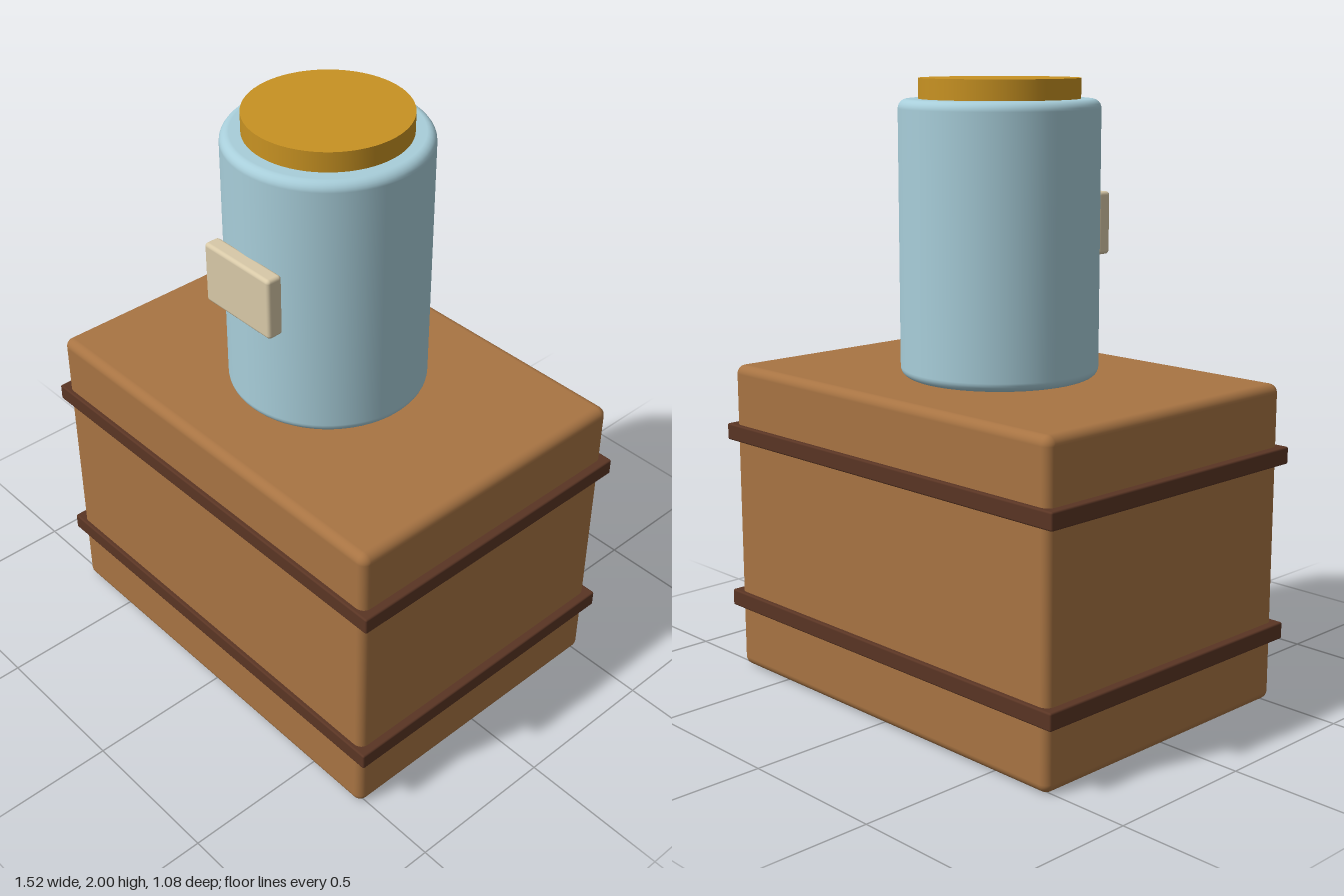
import * as THREE from 'three';
import { RoundedBoxGeometry } from 'three/addons/geometries/RoundedBoxGeometry.js';

function material(name, color) {
  const m = new THREE.MeshStandardMaterial({ color });
  m.name = name;
  return m;
}

export function createModel() {
  const model = new THREE.Group();
  model.name = 'jarOnCrate';
  const wood = material('crate brown', 0xa87443);
  const dark = material('band dark brown', 0x5a3524);
  const blue = material('jar pale blue', 0xa8ceda);
  const gold = material('lid gold', 0xc89222);
  const cream = material('label cream', 0xd8c9a8);

  const add = (name, geometry, mat, x, y, z) => {
    const mesh = new THREE.Mesh(geometry, mat);
    mesh.name = name;
    mesh.position.set(x, y, z);
    model.add(mesh);
  };

  // Crate with two bands wrapped around it
  add('crate', new RoundedBoxGeometry(1.464, 1.055, 1.054, 4, 0.03), wood, 0, 0.5275, 0);
  for (const [name, y] of [['lowerBand', 0.238], ['upperBand', 0.824]]) {
    add(name, new RoundedBoxGeometry(1.52, 0.056, 1.082, 2, 0.006), dark, 0, y, 0);
  }

  // Jar: a closed cylinder with rounded rims
  const radius = 0.32, height = 0.88, round = 0.03;
  const profile = [new THREE.Vector2(0, 0)];
  for (const [cy, start] of [[round, -Math.PI / 2], [height - round, 0]]) {
    for (let i = 0; i <= 6; i++) {
      const a = start + (i / 6) * Math.PI / 2;
      profile.push(new THREE.Vector2(radius - round + round * Math.cos(a), cy + round * Math.sin(a)));
    }
  }
  profile.push(new THREE.Vector2(0, height));
  add('jar', new THREE.LatheGeometry(profile, 64), blue, 0, 1.056, 0);

  // Lid and front label
  add('lid', new THREE.CylinderGeometry(0.256, 0.256, 0.1, 64), gold, 0, 1.95, 0);
  add('label', new RoundedBoxGeometry(0.292, 0.205, 0.055, 3, 0.012), cream, 0, 1.53, 0.337);

  return model;
}
